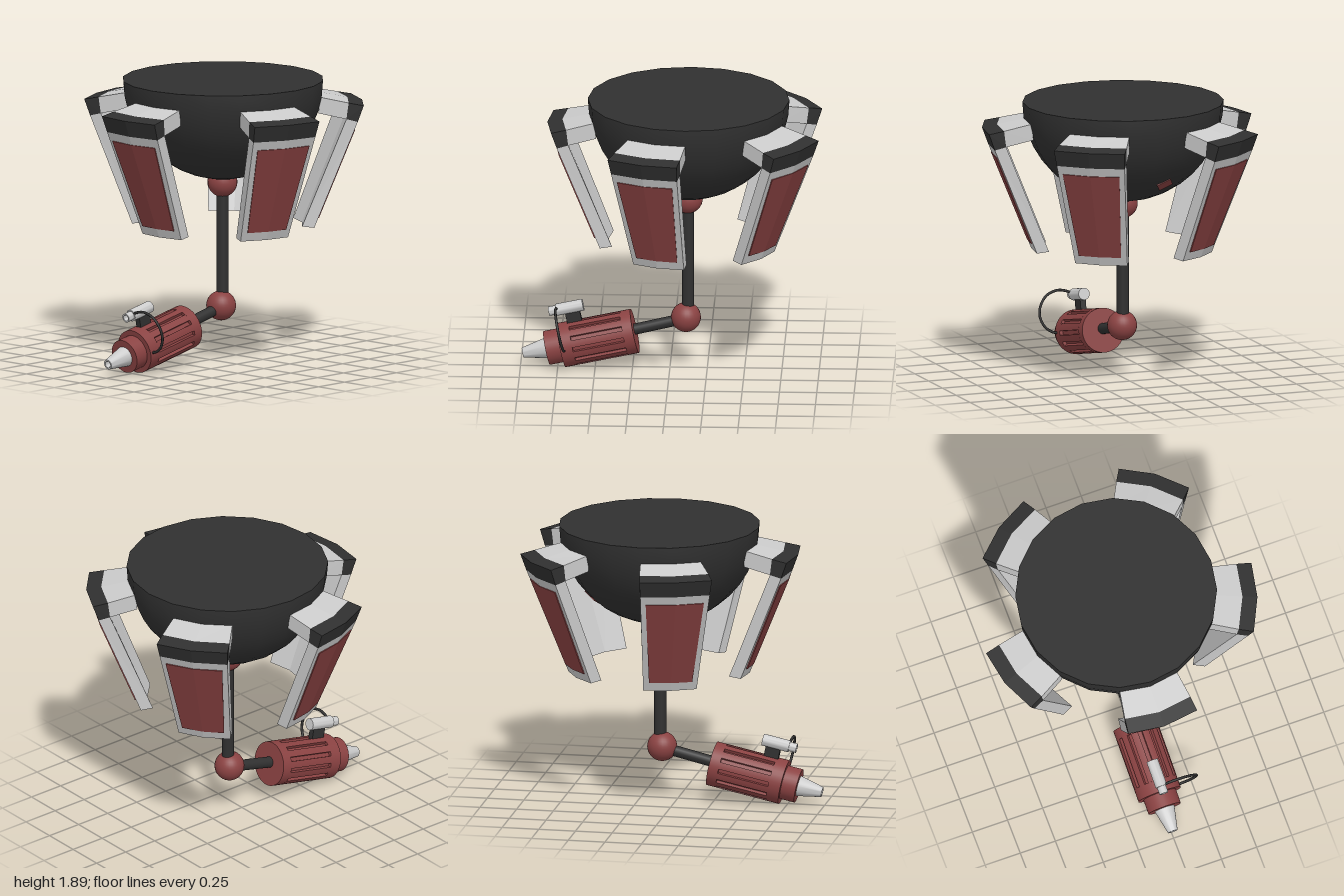
import * as THREE from 'three';
import { toCreasedNormals } from 'three/addons/utils/BufferGeometryUtils.js';

const CZ = -0.125; // z of the vertical axis
const material = (color) => new THREE.MeshStandardMaterial({ color });
const grey = material(0xcccccc);
const dark = material(0x303030);
const red = material(0x8a4242);

function add(parent, name, geometry, mat, x = 0, y = 0, z = 0) {
  const mesh = new THREE.Mesh(geometry, mat);
  mesh.name = name;
  mesh.position.set(x, y, z);
  parent.add(mesh);
  return mesh;
}

// Prism following a two-step arc around the axis; corners are [radius, y, half angle in degrees]
function arcBlock(corners) {
  const n = corners.length, pos = [], index = [];
  for (const t of [-1, 0, 1]) {
    for (const [r, y, deg] of corners) {
      const a = THREE.MathUtils.degToRad(deg) * t;
      pos.push(r * Math.sin(a), y, r * Math.cos(a));
    }
  }
  for (let j = 0; j < 2; j++) {
    for (let k = 0; k < n; k++) {
      const a = j * n + k, d = j * n + (k + 1) % n, b = a + n, c = d + n;
      index.push(a, b, c, a, c, d);
    }
  }
  for (let k = 1; k < n - 1; k++) {
    index.push(0, k, k + 1, 2 * n, 2 * n + k + 1, 2 * n + k);
  }
  const g = new THREE.BufferGeometry();
  g.setAttribute('position', new THREE.Float32BufferAttribute(pos, 3));
  g.setIndex(index);
  const flat = g.toNonIndexed();
  flat.computeVertexNormals();
  return flat;
}

// Cylinder along +z from z0 to z1
function rod(r0, r1, z0, z1, sides = 28) {
  return new THREE.CylinderGeometry(r1, r0, z1 - z0, sides)
    .rotateX(Math.PI / 2).translate(0, 0, (z0 + z1) / 2);
}

// Turned part along +z from [radius, z] points
function turned(points, sides = 24) {
  const g = new THREE.LatheGeometry(points.map(([r, z]) => new THREE.Vector2(r, z)), sides);
  return toCreasedNormals(g.rotateX(Math.PI / 2), 0.6);
}

// Barrel section with lengthwise slots
function slottedBarrel(r, depth, slots, z0, z1) {
  const shape = new THREE.Shape();
  const step = 2 * Math.PI / slots, half = 0.1;
  const at = (rad, a) => new THREE.Vector2(rad * Math.cos(a), rad * Math.sin(a));
  const pts = [];
  for (let k = 0; k < slots; k++) {
    const a = k * step;
    pts.push(at(r - depth, a - half), at(r - depth, a + half));
    for (let i = 0; i <= 3; i++) pts.push(at(r, a + half + (step - 2 * half) * i / 3));
  }
  shape.setFromPoints(pts);
  const g = new THREE.ExtrudeGeometry(shape, { depth: z1 - z0, bevelEnabled: false });
  return toCreasedNormals(g.translate(0, 0, z0), 0.5);
}

function createPanel() {
  const panel = new THREE.Group();
  panel.name = 'sidePanel';
  add(panel, 'panelSlab', arcBlock([
    [0.535, 0.91, 18.5], [0.615, 0.9, 17], [0.905, 1.62, 15], [0.83, 1.64, 16]]), grey);
  add(panel, 'panelCap', arcBlock([
    [0.83, 1.64, 16], [0.905, 1.62, 15], [0.945, 1.73, 15], [0.845, 1.75, 16]]), dark);
  add(panel, 'panelBracket', arcBlock([
    [0.645, 1.68, 18], [0.83, 1.64, 16], [0.845, 1.75, 16], [0.655, 1.79, 18]]), grey);
  add(panel, 'panelInset', arcBlock([
    [0.62, 0.965, 13.1], [0.643, 0.96, 13.1], [0.885, 1.56, 12.8], [0.862, 1.565, 12.8]]), red);
  return panel;
}

function createTool() {
  const tool = new THREE.Group();
  tool.name = 'tool';
  // Slotted body
  add(tool, 'bodyRear', rod(0.15, 0.15, 0, 0.07, 36), red);
  add(tool, 'bodySlotted', slottedBarrel(0.15, 0.022, 12, 0.07, 0.42), red);
  add(tool, 'bodyFront', rod(0.15, 0.15, 0.42, 0.503, 36), red);
  add(tool, 'collar', rod(0.115, 0.115, 0.5, 0.603, 32), red);
  // Hollow nozzle
  add(tool, 'nozzle', turned([
    [0, 0.6], [0.07, 0.6], [0.034, 0.767], [0.023, 0.767], [0.02, 0.71], [0, 0.71]]), grey);
  // Small lamp on a mount
  add(tool, 'lampMount', new THREE.BoxGeometry(0.04, 0.11, 0.1), dark, 0, 0.18, 0.38);
  add(tool, 'lamp', turned([
    [0, 0.3], [0.04, 0.3], [0.04, 0.485], [0.031, 0.485], [0.031, 0.535],
    [0.021, 0.535], [0.021, 0.5], [0, 0.5]]), grey, 0, 0.25, 0);
  // Looping cable from lamp to body
  const path = new THREE.CatmullRomCurve3([
    [0.0, 0.25], [0.05, 0.275], [0.12, 0.287], [0.2, 0.258], [0.25, 0.19],
    [0.26, 0.12], [0.23, 0.05], [0.18, 0.012], [0.13, 0]
  ].map(([x, y]) => new THREE.Vector3(x, y, 0.478)));
  add(tool, 'cable', new THREE.TubeGeometry(path, 48, 0.009, 8), dark);
  return tool;
}

export function createModel() {
  const model = new THREE.Group();
  model.name = 'ceilingArm';

  // Half-sphere housing with flat top
  const R = 0.675;
  add(model, 'dome', new THREE.SphereGeometry(R, 20, 10, 0, Math.PI * 2, Math.PI / 2, Math.PI / 2),
    dark, 0, 1.9, CZ);
  add(model, 'domeTop', new THREE.CircleGeometry(R, 20).rotateX(-Math.PI / 2), dark, 0, 1.9, CZ);

  // Small plate on the underside of the dome
  const out = new THREE.Vector3(-0.13, -0.5, -0.43).normalize();
  const plate = add(model, 'domePlate', new THREE.BoxGeometry(0.1, 0.1, 0.02), red);
  plate.position.set(0, 1.9, CZ).addScaledVector(out, 0.665);
  plate.lookAt(plate.position.clone().add(out));
  plate.rotateZ(0.7);

  // Five panels around the dome
  for (let i = 0; i < 5; i++) {
    const panel = createPanel();
    panel.position.z = CZ;
    panel.rotation.y = i * Math.PI * 2 / 5;
    model.add(panel);
  }

  // Hanging post and joints
  add(model, 'upperJoint', new THREE.SphereGeometry(0.1, 24, 16), red, 0, 1.2, -0.12);
  add(model, 'post', new THREE.CylinderGeometry(0.041, 0.041, 0.86, 20), dark, 0, 0.79, -0.12);
  add(model, 'lowerJoint', new THREE.SphereGeometry(0.1, 28, 18), red, 0, 0.363, -0.107);

  // Forearm rod and tool, tilted down towards the front
  const forearm = add(model, 'forearm', rod(0.037, 0.037, 0, 0.38, 20), dark, 0, 0.355, -0.107);
  forearm.rotation.x = 0.235;
  const tool = createTool();
  tool.position.set(0, 0.261, 0.235);
  tool.rotation.x = 0.213;
  model.add(tool);

  return model;
}
